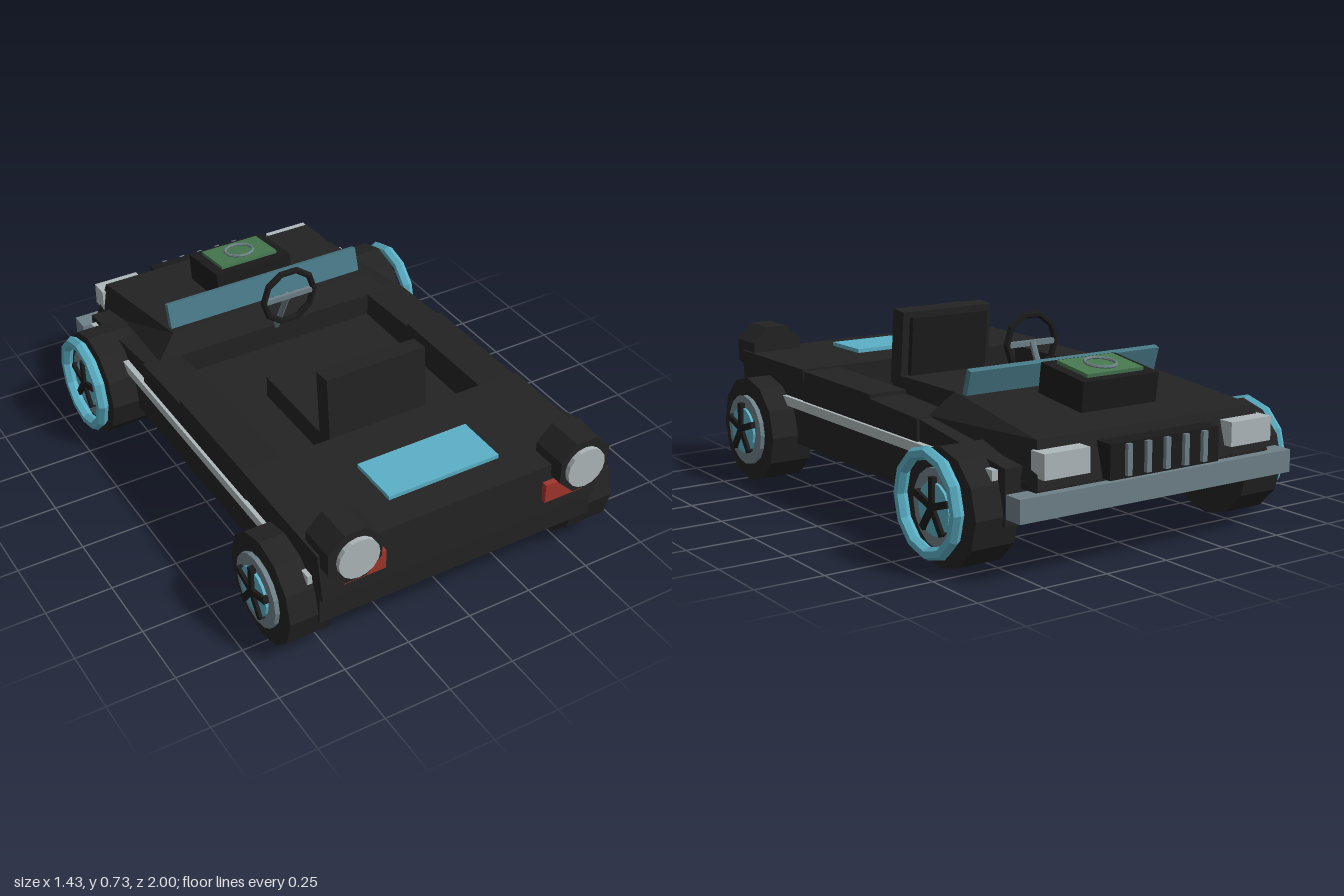
import * as THREE from 'three';

const mat = (name, color, extra = {}) => {
  const m = new THREE.MeshStandardMaterial({ color, flatShading: true, ...extra });
  m.name = name;
  return m;
};

export function createModel() {
  const M = {
    body: mat('body black', 0x232323),
    trim: mat('trim black', 0x1b1b1b),
    cyan: mat('cyan accent', 0x5bb0c6),
    glass: mat('tinted glass', 0x487886),
    grey: mat('metal grey', 0x6e8088),
    silver: mat('silver', 0xaeb7ba),
    green: mat('green', 0x46784f),
    red: mat('red', 0xa0352c),
  };
  const car = new THREE.Group();
  car.name = 'openCar';

  const add = (name, geo, material, x = 0, y = 0, z = 0, parent = car) => {
    const m = new THREE.Mesh(geo, material);
    m.name = name;
    m.position.set(x, y, z);
    parent.add(m);
    return m;
  };
  // Box given by its extents
  const box = (name, material, x0, x1, y0, y1, z0, z1) =>
    add(name, new THREE.BoxGeometry(x1 - x0, y1 - y0, z1 - z0), material,
      (x0 + x1) / 2, (y0 + y1) / 2, (z0 + z1) / 2);
  // Symmetric tapered block; each cross edge is [halfWidth, y, z]
  const block = (name, material, lowFront, lowBack, topFront, topBack) => {
    const g = new THREE.BoxGeometry(2, 2, 2);
    const p = g.attributes.position;
    for (let i = 0; i < p.count; i++) {
      const e = p.getY(i) < 0
        ? (p.getZ(i) > 0 ? lowFront : lowBack)
        : (p.getZ(i) > 0 ? topFront : topBack);
      p.setXYZ(i, Math.sign(p.getX(i)) * e[0], e[1], e[2]);
    }
    g.computeVertexNormals();
    return add(name, g, material);
  };
  // Side profile of [z, y] points extruded from x0 to x1
  const profile = (name, material, pts, x0, x1) => {
    const s = new THREE.Shape(pts.map(([z, y]) => new THREE.Vector2(z, y)));
    const g = new THREE.ExtrudeGeometry(s, { depth: x1 - x0, bevelEnabled: false });
    g.rotateY(-Math.PI / 2);
    return add(name, g, material, x1);
  };

  // Lower hull, deck and fender base
  box('hull', M.body, -0.55, 0.55, 0.17, 0.34, -0.86, 0.92);
  block('deck', M.body, [0.55, 0.275, 0.94], [0.55, 0.275, 0.43], [0.565, 0.472, 0.93], [0.565, 0.472, 0.43]);
  profile('fenderBase', M.body, [[-0.34, 0.28], [-0.34, 0.43], [-0.86, 0.36], [-0.86, 0.28]], -0.55, 0.55);
  block('hood', M.body, [0.5, 0.43, -0.34], [0.49, 0.295, -0.95], [0.42, 0.51, -0.38], [0.46, 0.45, -0.905]);
  block('hoodNose', M.body, [0.5, 0.29, -0.36], [0.49, 0.29, -0.94], [0.5, 0.43, -0.345], [0.49, 0.3, -0.95]);
  box('deckPanel', M.cyan, -0.22, 0.22, 0.465, 0.487, 0.61, 0.81);

  // Scoop lying along the hood slope, with a green lid and a ring
  const scoop = new THREE.Group();
  scoop.name = 'scoop';
  scoop.position.set(0, 0.535, -0.63);
  scoop.rotation.x = -0.13;
  car.add(scoop);
  add('scoopBox', new THREE.BoxGeometry(0.32, 0.11, 0.24), M.trim, 0, 0, 0, scoop);
  add('scoopLid', new THREE.BoxGeometry(0.24, 0.015, 0.17), M.green, 0, 0.06, 0, scoop);
  const ring = add('scoopRing', new THREE.TorusGeometry(0.055, 0.006, 6, 16), M.grey, 0, 0.071, 0, scoop);
  ring.rotation.x = Math.PI / 2;

  // Windscreen
  const screen = add('windscreen', new THREE.BoxGeometry(0.82, 0.11, 0.025), M.glass, 0, 0.54, -0.435);
  screen.rotation.x = -0.3;

  // Steering wheel and column
  const wheelRim = add('steeringWheel', new THREE.TorusGeometry(0.107, 0.013, 6, 10), M.trim, 0, 0.615, -0.242);
  wheelRim.name = 'steeringWheel';
  box('steeringSpoke', M.grey, -0.1, 0.1, 0.605, 0.625, -0.25, -0.235);
  const column = add('steeringColumn', new THREE.CylinderGeometry(0.012, 0.012, 0.22, 6), M.grey, 0, 0.52, -0.297);
  column.rotation.x = 0.46;

  // Seat
  box('seatCushion', M.body, -0.2, 0.2, 0.33, 0.425, -0.06, 0.38);
  const back = add('seatBack', new THREE.BoxGeometry(0.4, 0.29, 0.072), M.body, 0, 0.53, 0.35);
  const pad = add('seatBackPad', new THREE.BoxGeometry(0.34, 0.24, 0.025), M.trim, 0, 0.53, 0.303);
  back.rotation.x = pad.rotation.x = -0.09;

  // Grille, its bars and the bumper
  box('grille', M.trim, -0.23, 0.23, 0.3, 0.42, -0.985, -0.9);
  for (let i = -2; i <= 2; i++) {
    box('grilleBar', M.grey, i * 0.08 - 0.01, i * 0.08 + 0.01, 0.31, 0.415, -1, -0.98);
  }
  box('bumper', M.grey, -0.575, 0.575, 0.21, 0.29, -0.975, -0.9);

  // Paired parts
  const wallPts = [[0.44, 0.275], [0.44, 0.465], [-0.05, 0.46], [-0.05, 0.445], [-0.36, 0.43], [-0.36, 0.275]];
  for (const s of [1, -1]) {
    const pair = (name, material, x0, x1, ...r) =>
      box(name, material, s > 0 ? x0 : -x1, s > 0 ? x1 : -x0, ...r);
    profile('sideWall', M.body, wallPts, s > 0 ? 0.41 : -0.56, s > 0 ? 0.56 : -0.41);
    pair('sideStripe', M.silver, 0.54, 0.572, 0.315, 0.35, -0.82, 0.88);
    pair('rectLamp', M.silver, 0.3, 0.48, 0.335, 0.42, -0.972, -0.9);
    pair('redLamp', M.red, 0.32, 0.48, 0.335, 0.41, 0.92, 0.955);

    // Round lamp pod
    const podGeo = new THREE.CylinderGeometry(0.109, 0.109, 0.14, 8);
    podGeo.rotateY(Math.PI / 8).rotateX(Math.PI / 2);
    add('lampPod', podGeo, M.body, s * 0.455, 0.468, 0.912);
    const lensGeo = new THREE.CylinderGeometry(0.077, 0.077, 0.03, 16);
    lensGeo.rotateX(Math.PI / 2);
    add('roundLamp', lensGeo, M.silver, s * 0.45, 0.466, 0.985);

    // Wheels
    for (const z of [0.71, -0.65]) {
      const wheel = new THREE.Group();
      wheel.name = z > 0 ? 'frontWheel' : 'backWheel';
      wheel.position.set(s * 0.573, 0.203, z);
      car.add(wheel);
      const disc = (name, r, x0, x1, n, material) => {
        const g = new THREE.CylinderGeometry(r, r, x1 - x0, n);
        g.rotateZ(Math.PI / 2).rotateX(Math.PI / 2);
        add(name, g, material, s * (x0 + x1) / 2, 0, 0, wheel);
      };
      disc('tyre', 0.203, -0.083, 0.083, 12, M.body);
      disc('rim', 0.135, 0.07, 0.1, 16, M.grey);
      disc('hubDisc', 0.09, 0.09, 0.11, 16, M.cyan);
      for (let i = 0; i < 5; i++) {
        const g = new THREE.BoxGeometry(0.02, 0.1, 0.024);
        g.translate(0, 0.05, 0).rotateX(i * Math.PI * 2 / 5);
        add('spoke', g, M.trim, s * 0.112, 0.007, 0, wheel);
      }
      if (z < 0) {
        const g = new THREE.TorusGeometry(0.168, 0.023, 6, 12);
        g.rotateY(Math.PI / 2);
        add('wheelRing', g, M.cyan, s * 0.12, 0.017, 0.015, wheel);
      }
    }
  }
  return car;
}
